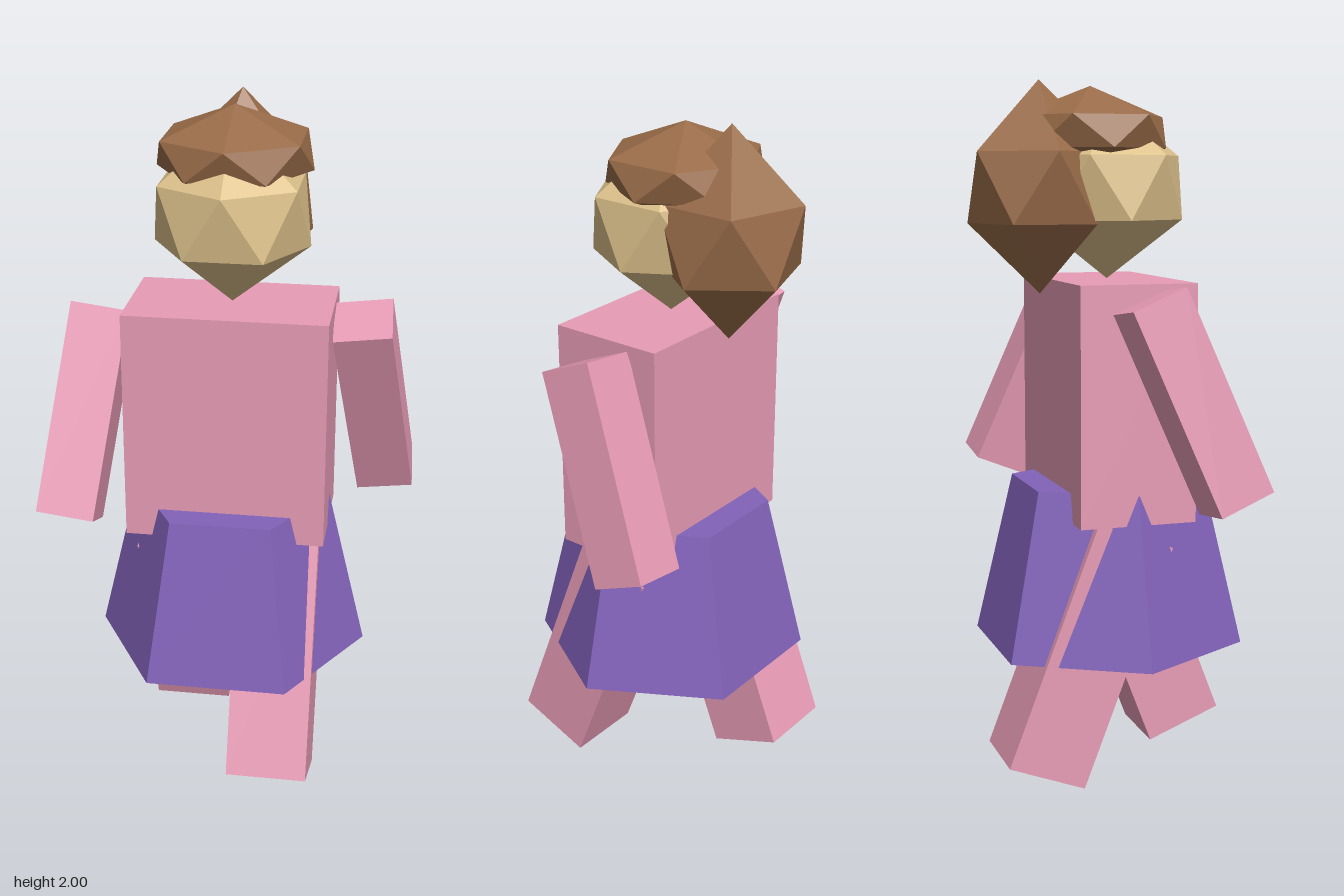
import * as THREE from 'three';
import { ConvexGeometry } from 'three/addons/geometries/ConvexGeometry.js';

const material = (color) => new THREE.MeshStandardMaterial({ color, flatShading: true });
const MID = 0.01; // z of the body's middle plane

export function createModel() {
  const group = new THREE.Group();
  const pink = material(0xe79bb5);
  const purple = material(0x8262ba);
  const tan = material(0xdcc08a);
  const brown = material(0x996c49);

  function add(name, geometry, mat, x, y, z) {
    const mesh = new THREE.Mesh(geometry, mat);
    mesh.name = name;
    mesh.position.set(x, y, z);
    group.add(mesh);
    return mesh;
  }

  // Faceted ball: two apexes and two rings of n points, offset by half a step
  function gem(n, radius, halfHeight, ringHeight, yaw = 0) {
    const points = [new THREE.Vector3(0, halfHeight, 0), new THREE.Vector3(0, -halfHeight, 0)];
    for (let i = 0; i < 2 * n; i++) {
      const a = yaw + (i * Math.PI) / n;
      points.push(new THREE.Vector3(
        radius * Math.sin(a), i % 2 ? -ringHeight : ringHeight, radius * Math.cos(a)));
    }
    return new ConvexGeometry(points);
  }

  // Torso and six-sided skirt
  add('torso', new THREE.BoxGeometry(0.578, 0.675, 0.34), pink, 0, 1.1025, MID);
  const skirt = add('skirt', new THREE.CylinderGeometry(0.29, 0.405, 0.48, 6), purple, 0, 0.61, MID);
  skirt.rotation.y = Math.PI / 6;

  // Limbs in mid-stride: left leg and right arm forward, the others back
  for (const side of [1, -1]) {
    const label = side > 0 ? 'left' : 'right';

    const leg = add(label + 'Leg', new THREE.BoxGeometry(0.236, 0.735, 0.236), pink,
      side * 0.153, 0.389, MID + side * 0.133);
    leg.rotation.x = -side * 0.368;

    const arm = add(label + 'Arm', new THREE.BoxGeometry(0.166, 0.605, 0.166), pink,
      side * 0.406, 1.123, MID - side * 0.114);
    arm.rotation.set(side * 0.39, 0, side * 0.125, 'ZYX');
  }

  // Head with a flat cap of hair on top and a large bun behind
  add('head', gem(6, 0.22, 0.26, 0.09), tan, 0, 1.7, MID);
  add('hairTop', gem(6, 0.22, 0.13, 0.045), brown, 0, 1.855, -0.04);
  add('hairBack', gem(5, 0.205, 0.3, 0.1, THREE.MathUtils.degToRad(54)), brown, 0, 1.7, -0.192);

  return group;
}
